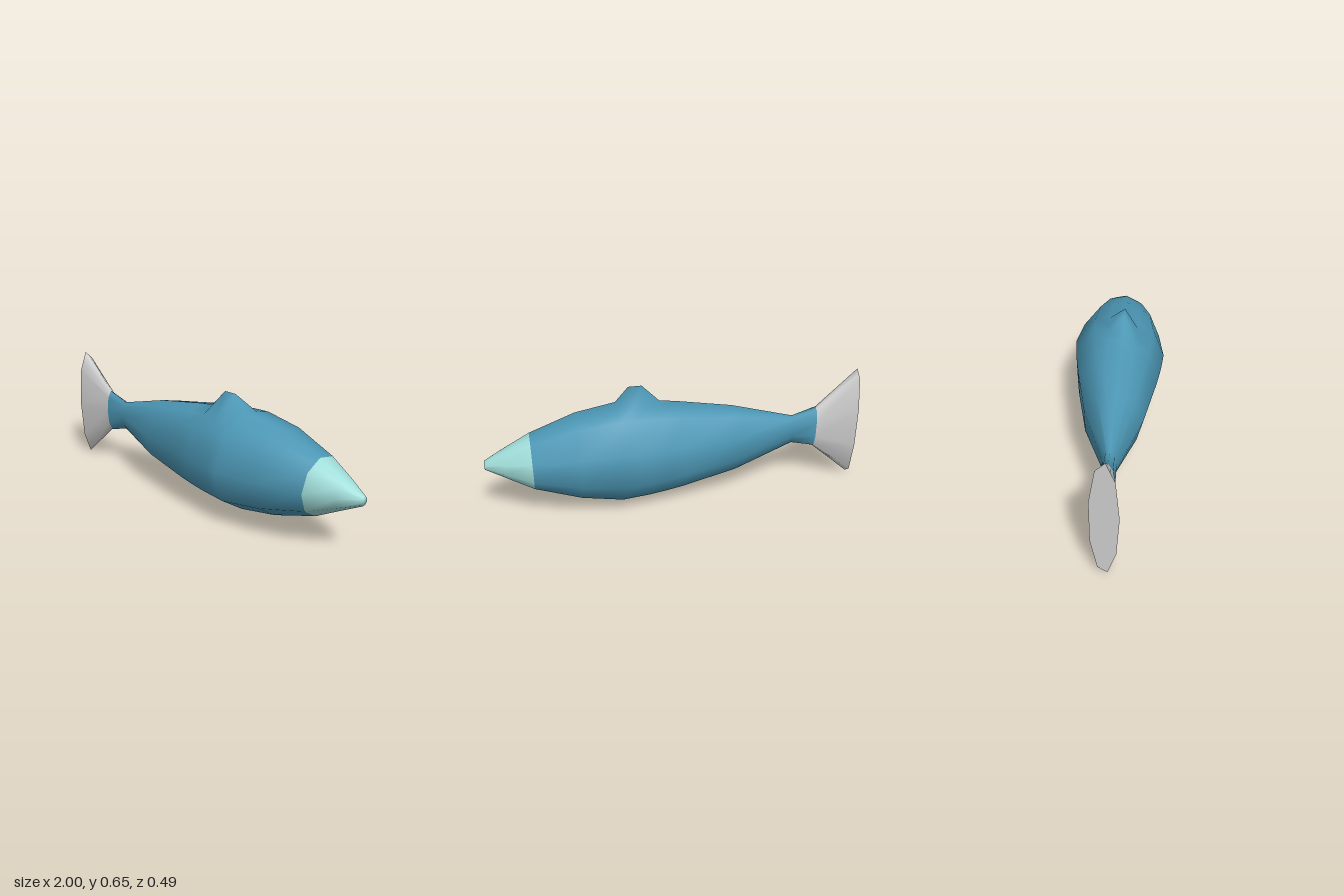
import * as THREE from 'three';

// Cross-sections from tail to nose: x, top y, bottom y, half width
const SECTIONS = [
  [-1, 0.638, 0.003, 0.066],
  [-0.775, 0.44, 0.2, 0.035],
  [-0.64, 0.4, 0.237, 0.033],
  [-0.3, 0.492, 0.135, 0.148],
  [0, 0.545, 0.08, 0.205],
  [0.09, 0.557, 0.069, 0.221],
  [0.18, 0.566, 0.06, 0.234],
  [0.25, 0.569, 0.057, 0.241],
  [0.32, 0.571, 0.053, 0.248],
  [0.53, 0.537, 0.09, 0.22],
  [0.765, 0.455, 0.163, 0.147],
  [0.9, 0.387, 0.235, 0.08],
  [1, 0.333, 0.287, 0.024],
];
const SIDES = 9;
const FIN_TOP = 0.65;

// Nine-sided ring, with an extra point either side of the top corner for the fin base
function ring([x, top, bottom, w]) {
  const cy = (top + bottom) / 2, ry = (top - bottom) / 2 / 0.985;
  const pts = [];
  for (let k = 0; k < SIDES; k++) {
    const a = THREE.MathUtils.degToRad(8.5 + (360 / SIDES) * k);
    pts.push(new THREE.Vector3(x, cy + ry * Math.cos(a), w * (1.02 * Math.sin(a) - 0.024)));
  }
  const left = pts[0].clone().lerp(pts[1], 0.47);
  const right = pts[0].clone().lerp(pts[SIDES - 1], 0.5);
  if (x > 0.15 && x < 0.28) pts[0].y = FIN_TOP; // raised dorsal fin
  return [pts[0], left, ...pts.slice(1), right];
}

export function createModel() {
  const group = new THREE.Group();
  const rings = SECTIONS.map(ring);
  const n = rings[0].length, last = rings.length - 1;
  const points = rings.flat();
  const tip = points.length;
  points.push(new THREE.Vector3(1, 0.31, 0));

  // Skin strip between two section numbers
  const strip = (from, to) => {
    const index = [];
    for (let i = from; i < to; i++) {
      for (let j = 0; j < n; j++) {
        const k = (j + 1) % n;
        const a = i * n + j, b = i * n + k, c = a + n, d = b + n;
        index.push(a, b, c, b, d, c);
      }
    }
    return index;
  };
  const tail = strip(0, 1), body = strip(1, 10), nose = strip(10, last);
  for (let j = 0; j < n; j++) nose.push(tip, last * n + j, last * n + ((j + 1) % n));

  // One smooth skin, shared by the three coloured parts
  const skin = new THREE.BufferGeometry().setFromPoints(points);
  skin.setIndex([...tail, ...body, ...nose]);
  skin.computeVertexNormals();

  const add = (name, geometry, color) => {
    const mesh = new THREE.Mesh(geometry, new THREE.MeshStandardMaterial({ color }));
    mesh.name = name;
    group.add(mesh);
  };
  const part = (name, index, color) => {
    const g = new THREE.BufferGeometry();
    g.setAttribute('position', skin.attributes.position);
    g.setAttribute('normal', skin.attributes.normal);
    g.setIndex(index);
    add(name, g, color);
  };
  part('tailFin', tail, 0xcccccc);
  part('bodyWithDorsalFin', body, 0x4c97b5);
  part('nose', nose, 0x9fdcd8);

  // Flat end of the tail
  const end = new THREE.BufferGeometry().setFromPoints([new THREE.Vector3(-1, 0.32, 0), ...rings[0]]);
  const fan = [];
  for (let j = 0; j < n; j++) fan.push(0, 1 + ((j + 1) % n), 1 + j);
  end.setIndex(fan);
  end.computeVertexNormals();
  add('tailEnd', end, 0xcccccc);

  return group;
}
